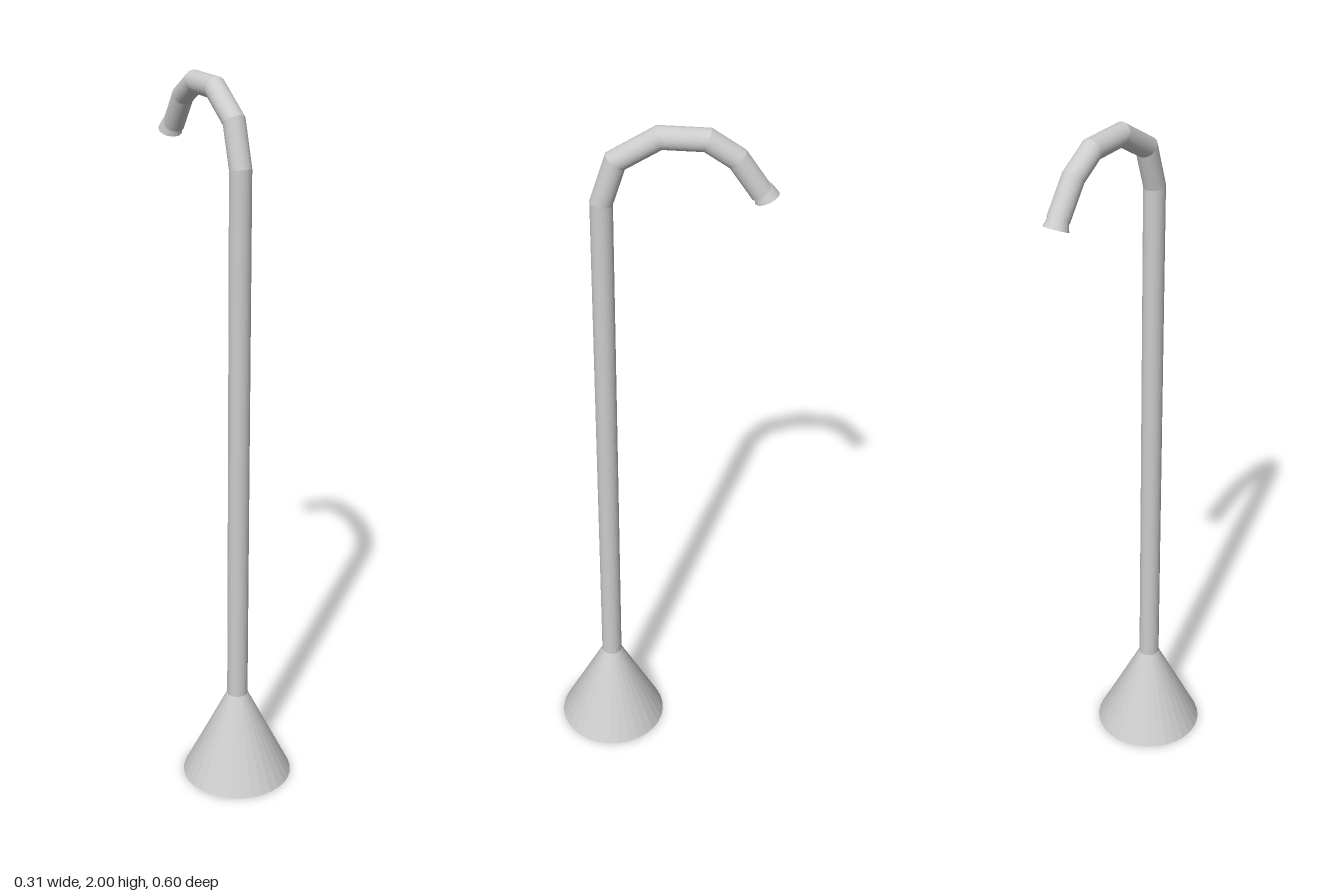
import * as THREE from 'three';

const SIDES = 32;
const RADIUS = 0.03;
const POST_Z = 0.142;

// Tube with mitred joints along a path of [y, z] points in the x = 0 plane
function mitredTube(path, radius) {
  const pts = path.map(([y, z]) => new THREE.Vector3(0, y, z));
  const dirs = pts.slice(1).map((p, i) => p.clone().sub(pts[i]).normalize());
  const positions = [], index = [];
  pts.forEach((p, i) => {
    const before = dirs[Math.max(i - 1, 0)];
    const after = dirs[Math.min(i, dirs.length - 1)];
    const tangent = before.clone().add(after).normalize();
    const stretch = radius / tangent.dot(after);
    for (let j = 0; j < SIDES; j++) {
      const a = (j / SIDES) * Math.PI * 2;
      const c = Math.cos(a) * stretch;
      positions.push(Math.sin(a) * radius, p.y + c * tangent.z, p.z - c * tangent.y);
      if (i === pts.length - 1) continue;
      const k = i * SIDES, n = (j + 1) % SIDES;
      index.push(k + j, k + n, k + SIDES + j, k + n, k + SIDES + n, k + SIDES + j);
    }
  });
  const geometry = new THREE.BufferGeometry();
  geometry.setAttribute('position', new THREE.Float32BufferAttribute(positions, 3));
  geometry.setIndex(index);
  geometry.computeVertexNormals();
  return geometry;
}

export function createModel() {
  const group = new THREE.Group();
  const material = new THREE.MeshStandardMaterial({
    color: 0xcccccc, flatShading: true, side: THREE.DoubleSide,
  });
  const add = (name, geometry) => {
    const mesh = new THREE.Mesh(geometry, material);
    mesh.name = name;
    group.add(mesh);
    return mesh;
  };

  // Conical foot
  add('base', new THREE.CylinderGeometry(RADIUS, 0.157, 0.26, SIDES))
    .position.set(0, 0.13, POST_Z);

  // Straight post running into the faceted hook
  add('postAndHook', mitredTube([
    [0.25, POST_Z], [1.79, POST_Z], [1.905, 0.105], [1.971, -0.003],
    [1.968, -0.121], [1.92, -0.195], [1.832, -0.256],
  ], RADIUS - 0.0005));

  // Short flared spout, closed at its mouth
  const spout = add('spout', new THREE.CylinderGeometry(0.025, 0.033, 0.03, SIDES));
  const down = new THREE.Vector3(0, -0.91, -0.41).normalize();
  spout.quaternion.setFromUnitVectors(new THREE.Vector3(0, -1, 0), down);
  spout.position.set(-0.004, 1.828, -0.264);

  return group;
}
